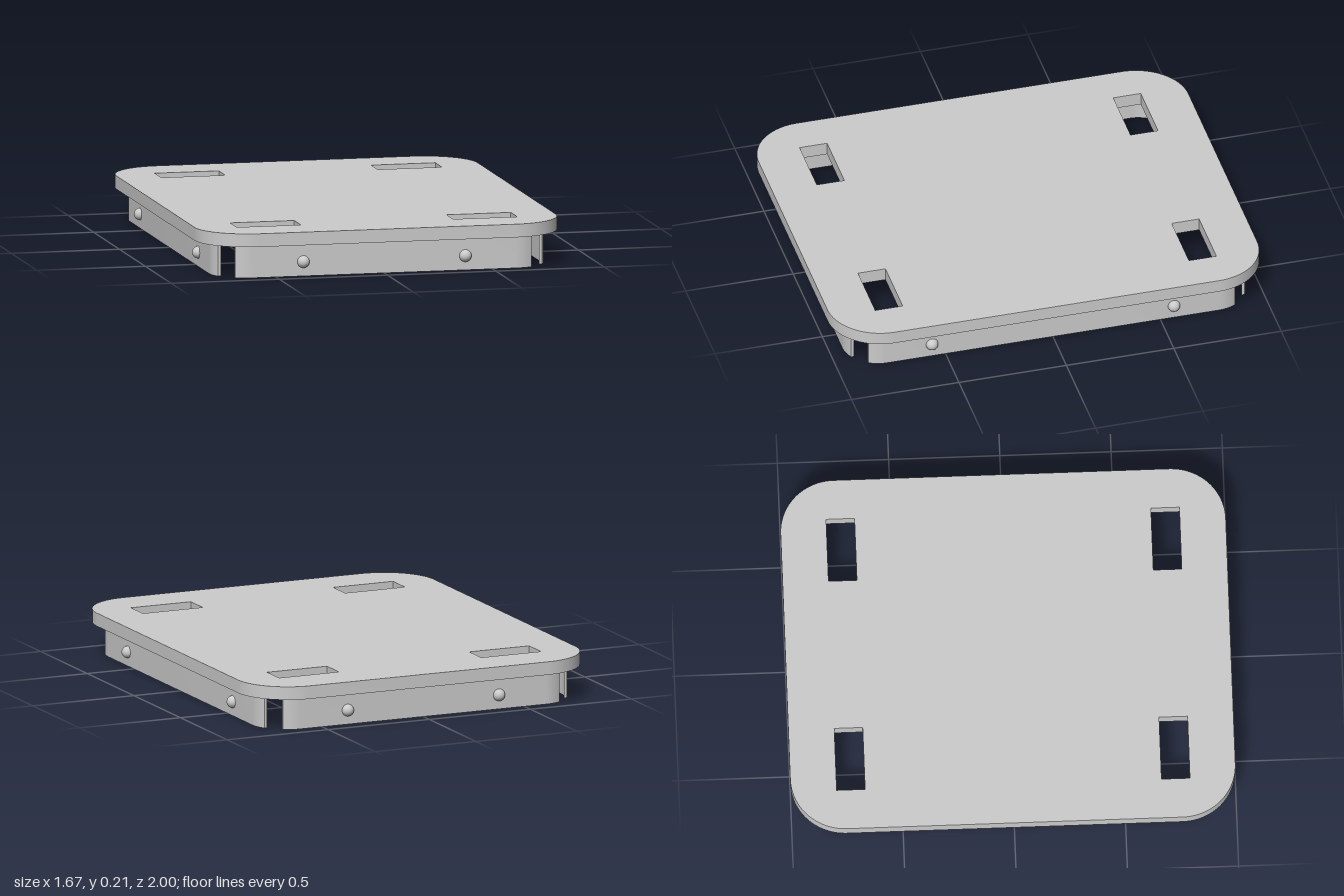
import * as THREE from 'three';
import { toCreasedNormals } from 'three/addons/utils/BufferGeometryUtils.js';

const material = new THREE.MeshStandardMaterial({ color: 0xcccccc });

// Extrude a plan-view outline upwards from y = 0
function extrudeUp(shape, height) {
  const geometry = new THREE.ExtrudeGeometry(shape, { depth: height, bevelEnabled: false, curveSegments: 16 });
  geometry.rotateX(-Math.PI / 2);
  return toCreasedNormals(geometry, 0.5);
}

function addMesh(parent, name, geometry, x = 0, y = 0, z = 0) {
  const mesh = new THREE.Mesh(geometry, material);
  mesh.name = name;
  mesh.position.set(x, y, z);
  parent.add(mesh);
}

// Rounded plate with four rectangular slots
function plateShape(w, d, r) {
  const s = new THREE.Shape();
  s.absarc(w - r, d - r, r, 0, Math.PI / 2);
  s.absarc(r - w, d - r, r, Math.PI / 2, Math.PI);
  s.absarc(r - w, r - d, r, Math.PI, Math.PI * 1.5);
  s.absarc(w - r, r - d, r, Math.PI * 1.5, Math.PI * 2);
  s.closePath();
  for (const sx of [-1, 1]) for (const sz of [-1, 1]) {
    const x = sx * 0.5, y = sz * 0.73, hw = 0.148, hd = 0.064;
    s.holes.push(new THREE.Path([
      new THREE.Vector2(x - hw, y - hd), new THREE.Vector2(x - hw, y + hd),
      new THREE.Vector2(x + hw, y + hd), new THREE.Vector2(x + hw, y - hd),
    ]));
  }
  return s;
}

// Thin wall whose ends curve inwards and stop short of the corner
function wallShape(half, straight, distance) {
  const r = 0.165, ri = r - 0.012, cy = distance - r;
  const a = Math.acos((half - straight) / r), ai = Math.acos((half - straight) / ri);
  const s = new THREE.Shape();
  s.absarc(straight, cy, r, a, Math.PI / 2, false);
  s.absarc(-straight, cy, r, Math.PI / 2, Math.PI - a, false);
  s.absarc(-straight, cy, ri, Math.PI - ai, Math.PI / 2, true);
  s.absarc(straight, cy, ri, Math.PI / 2, ai, true);
  s.closePath();
  return s;
}

export function createModel() {
  const model = new THREE.Group();
  model.name = 'slottedTray';

  addMesh(model, 'topPlate', extrudeUp(plateShape(0.833, 1, 0.245), 0.06), 0, 0.15, 0);

  // Four skirt walls, each with two round studs
  const studGeometry = new THREE.SphereGeometry(0.028, 24, 10, 0, Math.PI * 2, 0, Math.PI / 2);
  studGeometry.rotateX(-Math.PI / 2);
  ['back', 'right', 'front', 'left'].forEach((side, k) => {
    const long = k % 2 === 1;
    const distance = long ? 0.77 : 0.936;
    const wall = new THREE.Group();
    wall.name = side + 'Skirt';
    wall.rotation.y = k * Math.PI / 2;
    const shape = long ? wallShape(0.853, 0.771, distance) : wallShape(0.684, 0.605, distance);
    addMesh(wall, side + 'Wall', extrudeUp(shape, 0.15));
    for (const sx of [-1, 1]) addMesh(wall, side + 'Stud', studGeometry, sx * (long ? 0.563 : 0.374), 0.065, -distance);
    model.add(wall);
  });
  return model;
}
